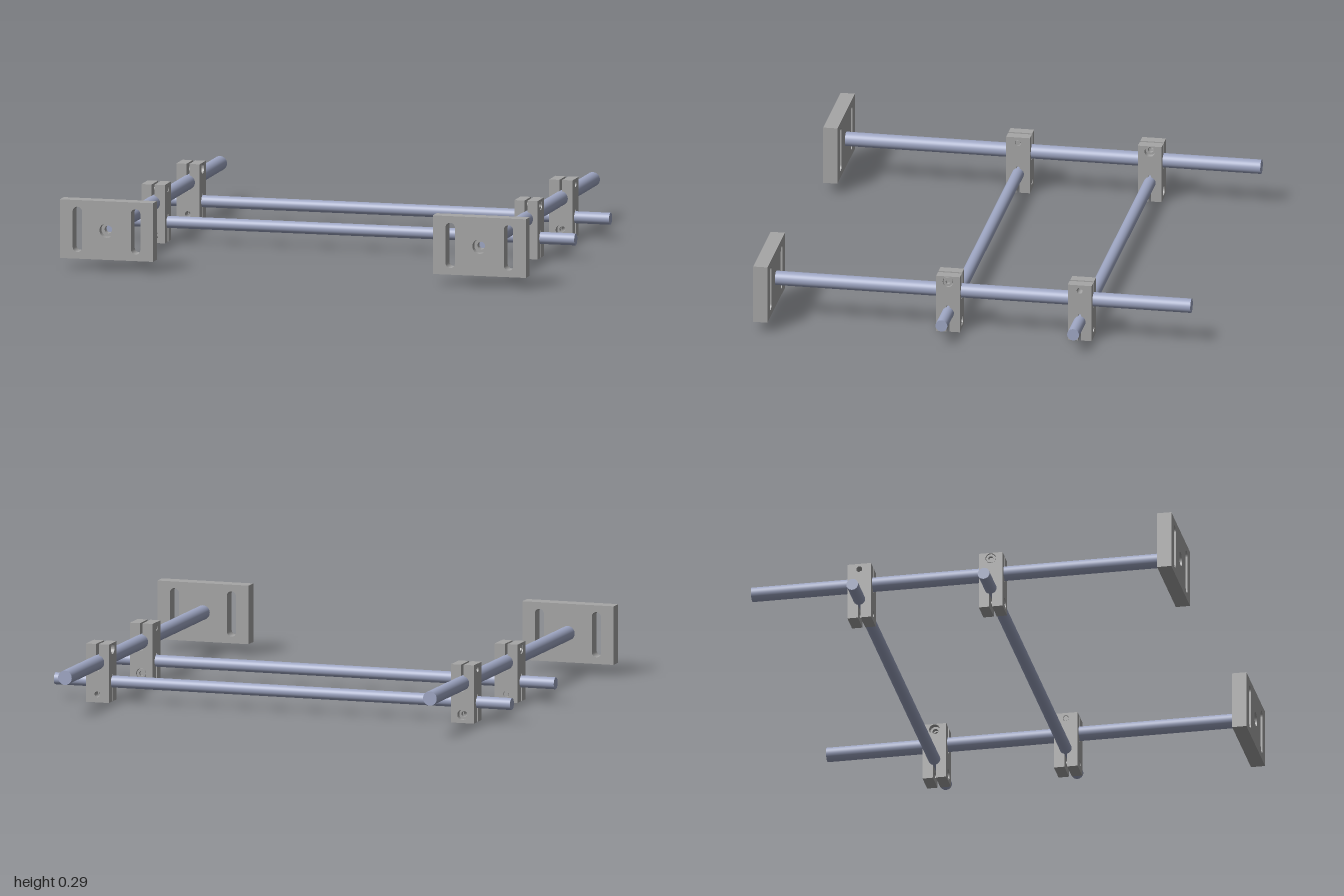
import * as THREE from 'three';

const GAP = 0.006;      // half width of the clamping slits
const HALF = 0.05;      // half width of a clamp block
const MID_Y = 0.123;    // joint between lower and upper clamp halves
const LONG = { r: 0.03, y: 0.168 };
const CROSS = { r: 0.025, y: 0.083 };

export function createModel() {
  const root = new THREE.Group();
  root.name = 'rodFrame';
  const grey = new THREE.MeshStandardMaterial({ color: 0xa6a6a6 });
  grey.name = 'machined grey';
  const blue = new THREE.MeshStandardMaterial({ color: 0x9fa7c4 });
  blue.name = 'blue steel';

  const add = (parent, name, geo, mat = grey) => {
    const mesh = new THREE.Mesh(geo, mat);
    mesh.name = name;
    parent.add(mesh);
    return mesh;
  };
  const group = (parent, name) => {
    const g = new THREE.Group();
    g.name = name;
    parent.add(g);
    return g;
  };
  const extrude = (shape, depth, z = 0) =>
    new THREE.ExtrudeGeometry(shape, { depth, bevelEnabled: false, curveSegments: 24 }).translate(0, 0, z);
  const rect = (w, y0, y1) => new THREE.Shape([
    new THREE.Vector2(-w, y0), new THREE.Vector2(w, y0),
    new THREE.Vector2(w, y1), new THREE.Vector2(-w, y1)]);
  const circle = (r, y = 0) => new THREE.Path().absarc(0, y, r, 0, Math.PI * 2, true);

  // Upright mounting slot with round ends
  const slot = (x, r, half) => {
    const p = new THREE.Path();
    p.absarc(x, half - r, r, 0, Math.PI, false);
    p.absarc(x, r - half, r, Math.PI, Math.PI * 2, false);
    p.closePath();
    return p;
  };

  // Split collar around a rod, open at the top, with a relief notch opposite
  const collar = (r, base) => {
    const d = Math.asin(GAP / r), open = r, q = Math.PI / 2;
    const s = new THREE.Shape();
    s.moveTo(GAP, open);
    s.lineTo(HALF, open);
    s.lineTo(HALF, -base);
    s.lineTo(-HALF, -base);
    s.lineTo(-HALF, open);
    s.lineTo(-GAP, open);
    s.absarc(0, 0, r, q + d, 3 * q - d, false);
    s.lineTo(-GAP, -r - 0.007);
    s.lineTo(GAP, -r - 0.007);
    s.absarc(0, 0, r, 3 * q + d, 5 * q - d, false);
    s.closePath();
    return extrude(s, HALF * 2, -HALF);
  };

  // Pair of jaws drilled along z; the +z one is counterbored
  const jaws = (parent, name, y0, y1, holeY, screw) => {
    const g = group(parent, name);
    const layer = (part, r, z0, z1) => {
      const s = rect(HALF, y0, y1);
      s.holes.push(circle(r, holeY));
      add(g, part, extrude(s, z1 - z0, z0));
    };
    layer('plainJaw', 0.0125, -HALF, -GAP);
    layer('boredJawInner', 0.0125, GAP, 0.025);
    layer('boredJawOuter', 0.022, 0.025, HALF);
    if (screw) {
      const head = new THREE.Shape().absarc(0, holeY, 0.0195, 0, Math.PI * 2, false);
      const hex = Array.from({ length: 6 }, (_, i) => new THREE.Vector2(
        0.011 * Math.cos(-i * Math.PI / 3), holeY + 0.011 * Math.sin(-i * Math.PI / 3)));
      head.holes.push(new THREE.Path(hex));
      add(g, 'screwHead', extrude(head, 0.021, 0.026));
      add(g, 'screwShaft', new THREE.CylinderGeometry(0.011, 0.011, 0.08, 24)
        .rotateX(Math.PI / 2).translate(0, holeY, -0.008));
    }
    return g;
  };

  // Cross clamp: lower collar along x, upper collar along z
  const clamp = (x, z, turn, screw) => {
    const g = group(root, 'crossClamp');
    add(g, 'lowerCollar', collar(CROSS.r, MID_Y - CROSS.y)
      .rotateZ(Math.PI).rotateY(Math.PI / 2).translate(0, CROSS.y, 0));
    add(g, 'upperCollar', collar(LONG.r, LONG.y - MID_Y).translate(0, LONG.y, 0));
    jaws(g, 'lowerJaws', 0, CROSS.y - CROSS.r, 0.034, screw).rotation.y = Math.PI;
    jaws(g, 'upperJaws', LONG.y + LONG.r, 0.245, 0.221, screw).rotation.y = Math.PI / 2;
    g.position.set(x, 0, z);
    g.rotation.y = turn;
  };

  const frontZ = 0.112, rearZ = -0.443;
  for (const side of [-1, 1]) {
    const x = side * 0.8;

    // Long rod
    add(root, 'longRod', new THREE.CylinderGeometry(LONG.r, LONG.r, 1.75, 40)
      .rotateX(Math.PI / 2), blue).position.set(x, LONG.y, -0.03);

    // End plate in two layers, so the middle hole is counterbored
    const plate = group(root, 'mountingPlate');
    plate.position.set(x, LONG.y, 0);
    for (const [name, r, z] of [['plateBack', 0.016, 0.845], ['plateFront', 0.03, 0.875]]) {
      const s = rect(0.2, -0.123, 0.123);
      s.holes.push(slot(-0.125, 0.02, 0.095), slot(0.125, 0.02, 0.095), circle(r));
      add(plate, name, extrude(s, 0.03, z));
    }

    // Clamps: the front pair carries screws
    clamp(x, frontZ, side > 0 ? 0 : Math.PI, true);
    clamp(x, rearZ, side > 0 ? Math.PI : 0, false);
  }

  // Cross rods
  for (const z of [frontZ, rearZ]) {
    add(root, 'crossRod', new THREE.CylinderGeometry(CROSS.r, CROSS.r, 2, 40)
      .rotateZ(Math.PI / 2), blue).position.set(0, CROSS.y, z);
  }
  return root;
}
